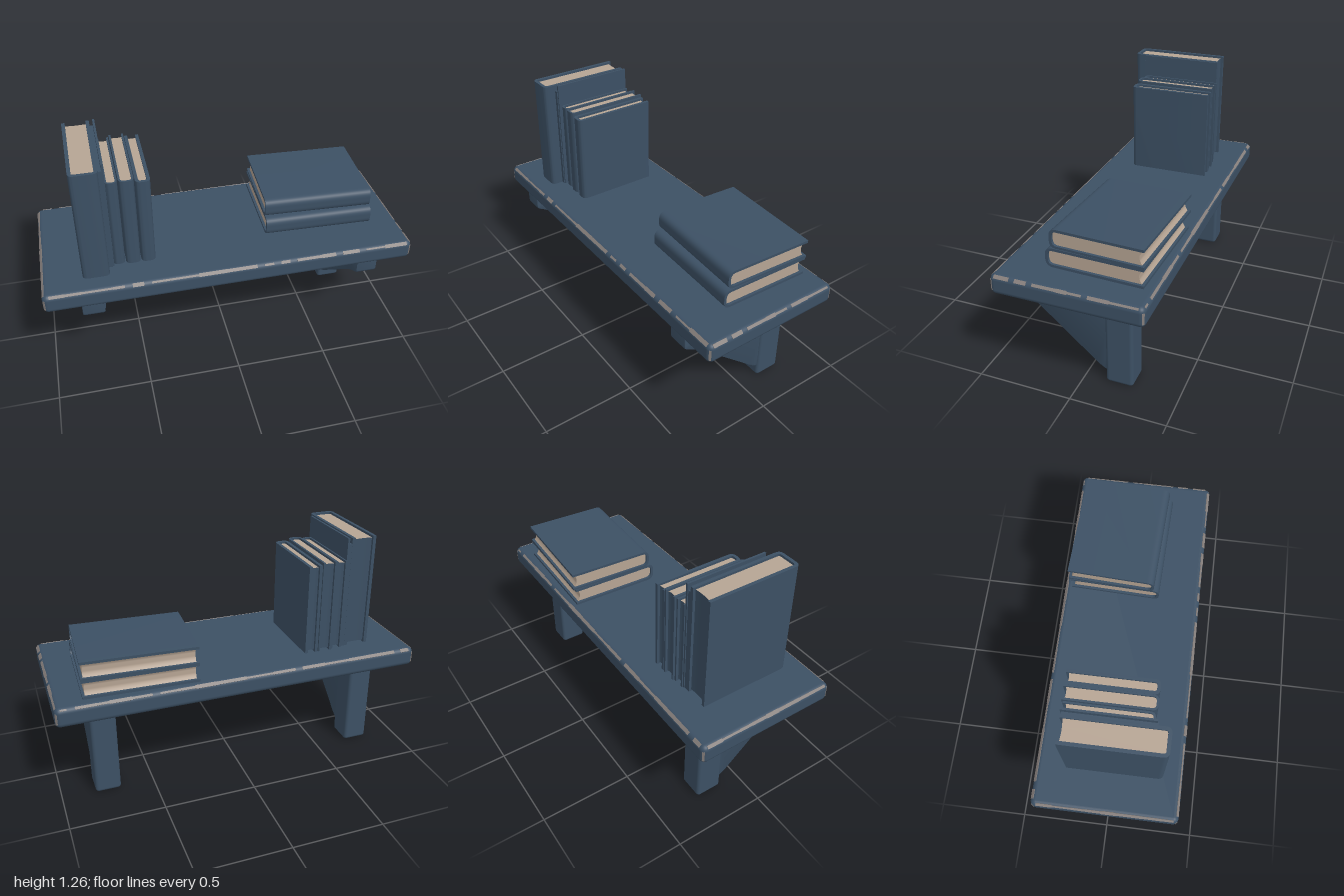
import * as THREE from 'three';
import { toCreasedNormals } from 'three/addons/utils/BufferGeometryUtils.js';
import { RoundedBoxGeometry } from 'three/addons/geometries/RoundedBoxGeometry.js';

function paint(name, color) {
  const m = new THREE.MeshStandardMaterial({ color });
  m.name = name;
  return m;
}

function addMesh(parent, name, geometry, material, x = 0, y = 0, z = 0) {
  const mesh = new THREE.Mesh(geometry, material);
  mesh.name = name;
  mesh.position.set(x, y, z);
  parent.add(mesh);
  return mesh;
}

// Extrudes a (thickness, depth) section upwards, with the spine towards +z
function extrudeUp(shape, height) {
  const g = new THREE.ExtrudeGeometry(shape, { depth: height, bevelEnabled: false, curveSegments: 8 });
  return toCreasedNormals(g.rotateX(-Math.PI / 2), 0.7);
}

// A standing book: a C-shaped cover around a page block
function makeBook(name, { thick, height, depth, cover = 0.013, round = 0.03, inset = 0.012, hollow = 0.012 }, blue, edge, paper) {
  const group = new THREE.Group();
  group.name = name;
  const t = thick / 2, d = depth / 2, i = t - cover;
  const r = Math.min(round, t * 0.9), ri = Math.min(Math.max(r - cover, 0.008), i * 0.9);
  const s = -d + cover;

  const c = new THREE.Shape();
  c.moveTo(-t, d);
  c.lineTo(-t, -d + r);
  c.quadraticCurveTo(-t, -d, -t + r, -d);
  c.lineTo(t - r, -d);
  c.quadraticCurveTo(t, -d, t, -d + r);
  c.lineTo(t, d);
  c.lineTo(i, d);
  c.lineTo(i, s + ri);
  c.quadraticCurveTo(i, s, i - ri, s);
  c.lineTo(-i + ri, s);
  c.quadraticCurveTo(-i, s, -i, s + ri);
  c.lineTo(-i, d);
  addMesh(group, 'cover', extrudeUp(c, height), blue);

  // page block with a hollow fore-edge
  const e = d - 0.014;
  const p = new THREE.Shape();
  p.moveTo(-i, e);
  p.lineTo(-i, s + ri);
  p.quadraticCurveTo(-i, s, -i + ri, s);
  p.lineTo(i - ri, s);
  p.quadraticCurveTo(i, s, i, s + ri);
  p.lineTo(i, e);
  p.quadraticCurveTo(0, e - hollow * 2, -i, e);
  addMesh(group, 'pages', extrudeUp(p, height - inset * 2), [paper, edge], 0, inset, 0);
  return group;
}

export function createModel() {
  const blue = paint('slate blue paint', 0x3c5064);
  const paper = paint('paper', 0xb6a493);
  const worn = paint('worn edge', 0x857e7b);
  const model = new THREE.Group();
  model.name = 'wallShelf';

  // Shelf board
  const top = 0.628, bottom = 0.52;
  addMesh(model, 'board', new RoundedBoxGeometry(2, top - bottom, 0.78, 4, 0.028), blue, 0, (top + bottom) / 2, 0);

  // Worn chips along the rounded edges
  let seed = 7;
  const rand = () => (seed = (seed * 16807) % 2147483647) / 2147483647;
  const wear = new THREE.Group();
  wear.name = 'wornEdges';
  model.add(wear);
  const inset = 0.0085;
  const chip = (length, width) => new THREE.BoxGeometry(length, 0.004, width);
  for (const side of [-1, 1]) {
    for (let x = -0.965; x < 0.95;) {
      const len = Math.min(0.05 + rand() * 0.12, 0.97 - x);
      const m = addMesh(wear, 'longEdgeChip', chip(len, 0.009 + rand() * 0.012), worn,
        x + len / 2, top - inset, side * (0.39 - inset));
      m.rotation.x = side * Math.PI / 4;
      x += len + (rand() < 0.3 ? 0.04 : 0);
    }
    for (let z = -0.36; z < 0.34;) {
      const len = Math.min(0.05 + rand() * 0.1, 0.365 - z);
      const m = addMesh(wear, 'endEdgeChip', chip(0.009 + rand() * 0.012, 0.001), worn,
        side * (1 - inset), top - inset, z + len / 2);
      m.scale.z = len / 0.001;
      m.rotation.z = -side * Math.PI / 4;
      z += len + (rand() < 0.3 ? 0.03 : 0);
    }
    for (const front of [-1, 1]) {
      const m = addMesh(wear, 'cornerChip', new THREE.BoxGeometry(0.012, 0.06, 0.004), worn,
        side * (1 - inset), 0.573, front * (0.39 - inset));
      m.rotation.y = side * front * Math.PI / 4;
    }
  }

  // Brackets: a square post with a tapering wedge in front
  const wedge = new THREE.Shape();
  wedge.moveTo(-0.2, 0.54);
  wedge.lineTo(-0.2, 0.065);
  wedge.lineTo(-0.115, 0.065);
  wedge.quadraticCurveTo(-0.09, 0.075, -0.06, 0.102);
  wedge.lineTo(0.24, 0.365);
  wedge.quadraticCurveTo(0.31, 0.425, 0.37, 0.455);
  wedge.quadraticCurveTo(0.383, 0.462, 0.383, 0.48);
  wedge.lineTo(0.383, 0.54);
  const wedgeGeo = new THREE.ExtrudeGeometry(wedge, {
    depth: 0.098, bevelThickness: 0.01, bevelSize: 0.008, bevelOffset: -0.008, bevelSegments: 2, curveSegments: 6,
  });
  wedgeGeo.translate(0, 0, -0.049).rotateY(-Math.PI / 2);
  const wedgeSmooth = toCreasedNormals(wedgeGeo, 0.6);
  for (const side of [-1, 1]) {
    const bracket = new THREE.Group();
    bracket.name = side > 0 ? 'leftBracket' : 'rightBracket';
    bracket.position.x = side * 0.751;
    addMesh(bracket, 'post', new RoundedBoxGeometry(0.138, 0.545, 0.145, 3, 0.018), blue, 0, 0.2725, -0.1875);
    addMesh(bracket, 'wedge', wedgeSmooth, blue);
    model.add(bracket);
  }

  // Standing books: [name, x, z, thick, height, depth, cover]
  const standing = [
    ['tallBook', -0.714, 0.03, 0.142, 0.632, 0.515, 0.018],
    ['slimBookA', -0.585, -0.015, 0.062, 0.514, 0.445, 0.01],
    ['slimBookB', -0.511, -0.016, 0.078, 0.52, 0.462, 0.011],
    ['slimBookC', -0.43, -0.015, 0.076, 0.506, 0.462, 0.017],
  ];
  for (const [name, x, z, thick, height, depth, cover] of standing) {
    const book = makeBook(name, { thick, height, depth, cover, hollow: 0.004 }, blue, blue, paper);
    book.position.set(x, top - 0.003, z);
    model.add(book);
  }
  // Thin volume leaning against the tall book
  addMesh(model, 'thinVolume', new THREE.BoxGeometry(0.024, 0.6, 0.45), blue, -0.634, top + 0.297, -0.002);
  addMesh(model, 'thinVolumeCover', new THREE.BoxGeometry(0.011, 0.635, 0.45), blue, -0.62, top + 0.315, -0.007);

  // Lying books: [name, y, z, thick, length, depth, turn]
  const lying = [
    ['lowerBook', 0.68, -0.088, 0.104, 0.6, 0.505, -0.035],
    ['upperBook', 0.782, -0.105, 0.104, 0.598, 0.485, -0.05],
  ];
  for (const [name, y, z, thick, length, depth, turn] of lying) {
    const book = makeBook(name, { thick, height: length, depth, cover: 0.014, round: 0.042, inset: 0.014, hollow: 0.014 },
      blue, paper, paper);
    book.rotation.z = -Math.PI / 2;
    book.position.x = -length / 2;
    const holder = new THREE.Group();
    holder.name = name + 'Holder';
    holder.position.set(0.543, y, z);
    holder.rotation.y = turn;
    holder.add(book);
    model.add(holder);
  }
  return model;
}
